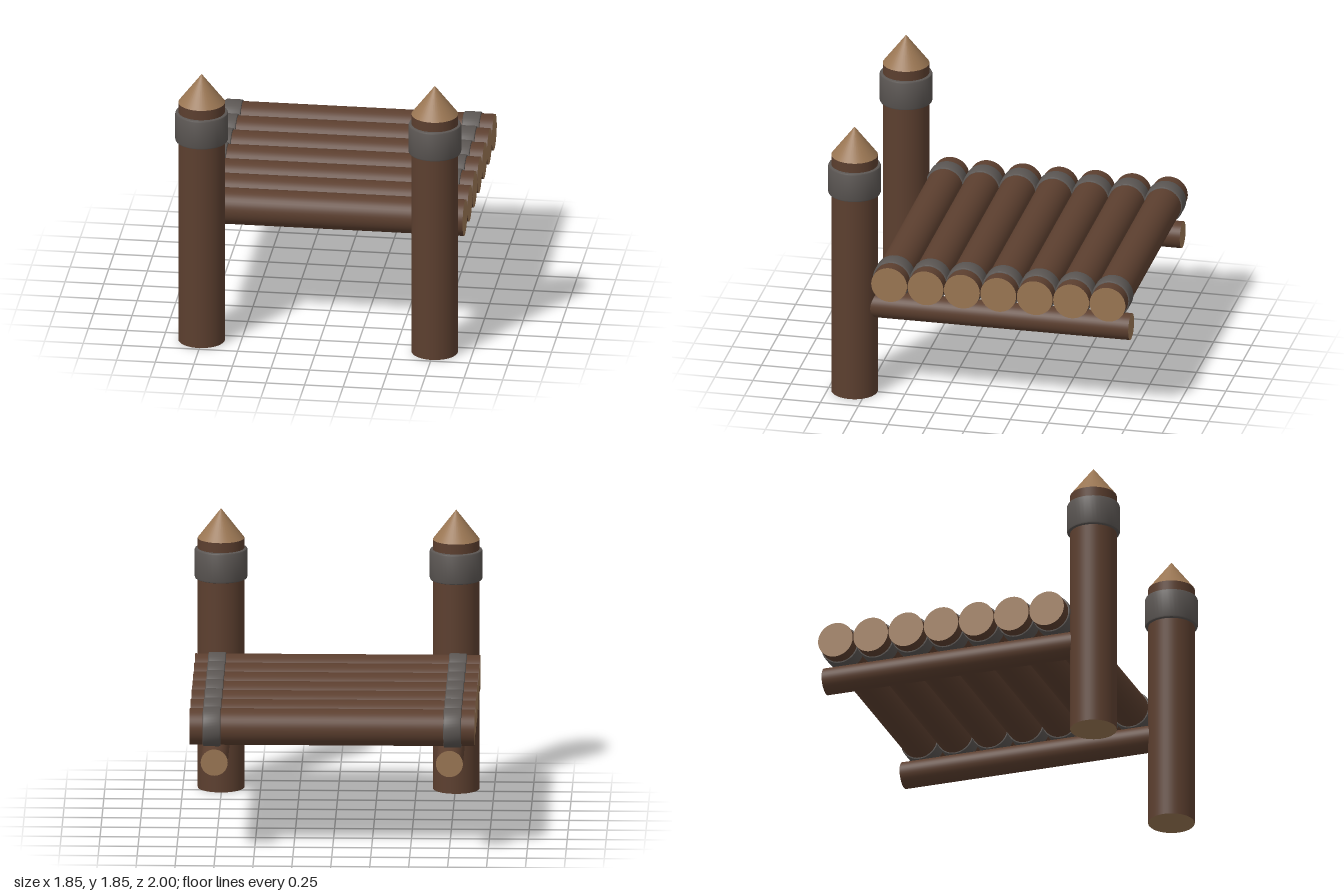
import * as THREE from 'three';
import { toCreasedNormals } from 'three/addons/utils/BufferGeometryUtils.js';

const SIDES = 40;

function material(name, color) {
  const m = new THREE.MeshStandardMaterial({ color });
  m.name = name;
  return m;
}

// Straight bark log with pale cut ends
function log(name, radius, length, bark, cut) {
  const mesh = new THREE.Mesh(new THREE.CylinderGeometry(radius, radius, length, SIDES), [bark, cut, cut]);
  mesh.name = name;
  return mesh;
}

// Closed ring around the y axis with slightly bevelled outer edges
function bandGeometry(inner, outer, width, bevel) {
  const h = width / 2;
  const profile = [
    [inner, -h], [outer - bevel, -h], [outer - bevel * 0.3, -h + bevel * 0.3], [outer, -h + bevel],
    [outer, h - bevel], [outer - bevel * 0.3, h - bevel * 0.3], [outer - bevel, h], [inner, h], [inner, -h],
  ].map(([x, y]) => new THREE.Vector2(x, y));
  return toCreasedNormals(new THREE.LatheGeometry(profile, SIDES), 0.6);
}

export function createModel() {
  const bark = material('bark brown', 0x5c3f2f);
  const cut = material('cut wood', 0x9a7653);
  const iron = material('iron grey', 0x5b5653);
  const model = new THREE.Group();
  model.name = 'logDock';

  const collarGeo = bandGeometry(0.145, 0.17, 0.2, 0.012);
  const strapGeo = bandGeometry(0.112, 0.128, 0.115, 0.01);

  for (const side of [-1, 1]) {
    // Upright post with sharpened tip and collar
    const post = new THREE.Group();
    post.name = side > 0 ? 'leftPost' : 'rightPost';
    post.position.set(side * 0.755, 0, 0.83);
    const trunk = log('postTrunk', 0.15, 1.65, bark, cut);
    trunk.position.y = 0.825;
    const tip = new THREE.Mesh(new THREE.ConeGeometry(0.15, 0.195, SIDES, 1, true), cut);
    tip.name = 'postTip';
    tip.position.y = 1.7475;
    const collar = new THREE.Mesh(collarGeo, iron);
    collar.name = 'postCollar';
    collar.position.y = 1.485;
    post.add(trunk, tip, collar);
    model.add(post);

    // Support beam running back from the post
    const beam = log(side > 0 ? 'leftBeam' : 'rightBeam', 0.087, 1.79, bark, cut);
    beam.rotation.x = Math.PI / 2;
    beam.position.set(side * 0.755, 0.618, -0.095);
    model.add(beam);
  }

  // Deck of seven cross logs, each strapped near both ends
  for (let i = 0; i < 7; i++) {
    const deck = new THREE.Group();
    deck.name = `deckLog${i + 1}`;
    deck.position.set(0, 0.828, 0.567 - i * 0.2395);
    deck.rotation.z = Math.PI / 2;
    deck.add(log('logBody', 0.118, 1.83, bark, cut));
    for (const side of [-1, 1]) {
      const strap = new THREE.Mesh(strapGeo, iron);
      strap.name = 'logStrap';
      strap.position.y = side * 0.773;
      deck.add(strap);
    }
    model.add(deck);
  }

  return model;
}
